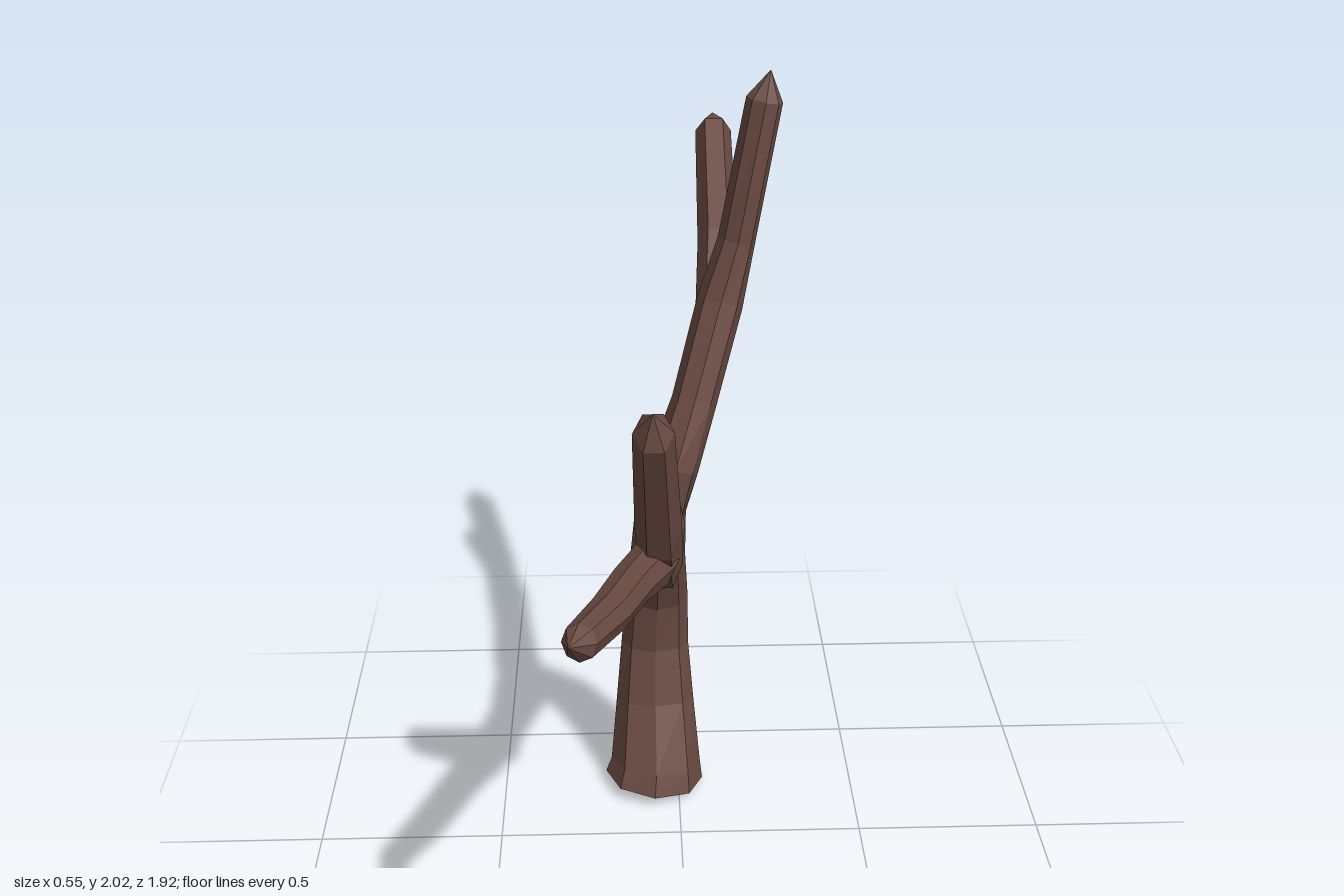
import * as THREE from 'three';

const bark = new THREE.MeshStandardMaterial({ color: 0x694a42, flatShading: true });
bark.name = 'brown bark';

// Faceted limb. Each ring is [x, y, z, half width across x, half depth], and it ends in a point at tip.
function limb(name, sides, rings, tip) {
  const centres = rings.map((r) => new THREE.Vector3(r[0], r[1], r[2]));
  const apex = new THREE.Vector3(...tip);
  const path = [...centres, apex];
  const loops = rings.map((r, i) => {
    // Mean direction of the neighbouring segments
    const dir = path[i + 1].clone().sub(path[i]).normalize();
    if (i > 0) dir.add(path[i].clone().sub(path[i - 1]).normalize()).normalize();
    const side = new THREE.Vector3(1, 0, 0).addScaledVector(dir, -dir.x).normalize();
    const up = dir.clone().cross(side);
    return Array.from({ length: sides }, (_, k) => {
      const a = (k / sides) * Math.PI * 2;
      return centres[i].clone()
        .addScaledVector(side, Math.cos(a) * r[3])
        .addScaledVector(up, Math.sin(a) * r[4]);
    });
  });

  const points = [];
  const last = loops.length - 1;
  for (let k = 0; k < sides; k++) {
    const n = (k + 1) % sides;
    points.push(centres[0], loops[0][n], loops[0][k]);
    for (let i = 0; i < last; i++) {
      const a = loops[i], b = loops[i + 1];
      points.push(a[k], a[n], b[n], a[k], b[n], b[k]);
    }
    points.push(loops[last][k], loops[last][n], apex);
  }
  const geometry = new THREE.BufferGeometry().setFromPoints(points);
  geometry.computeVertexNormals();
  const mesh = new THREE.Mesh(geometry, bark);
  mesh.name = name;
  return mesh;
}

export function createModel() {
  const tree = new THREE.Group();
  tree.name = 'bareTree';

  // Flared trunk bending back and on into the tall limb
  tree.add(limb('trunkAndTallLimb', 8, [
    [-0.07, 0, -0.257, 0.14, 0.145],
    [-0.065, 0.05, -0.262, 0.128, 0.125],
    [-0.065, 0.23, -0.315, 0.11, 0.088],
    [-0.064, 0.4, -0.34, 0.095, 0.066],
    [-0.058, 0.56, -0.333, 0.087, 0.073],
    [-0.055, 0.72, -0.277, 0.075, 0.088],
    [-0.048, 0.9, -0.195, 0.068, 0.107],
    [-0.012, 1.02, -0.215, 0.068, 0.13],
    [0.043, 1.17, -0.278, 0.06, 0.088],
    [0.115, 1.4, -0.4, 0.062, 0.083],
    [0.16, 1.56, -0.443, 0.05, 0.073],
    [0.228, 1.925, -0.463, 0.048, 0.052],
  ], [0.243, 2, -0.467]));

  // Twig leaving the tall limb to the back
  tree.add(limb('backTwig', 6, [
    [0.1, 1.36, -0.39, 0.05, 0.06],
    [0.118, 1.505, -0.59, 0.054, 0.07],
    [0.12, 1.725, -0.915, 0.05, 0.062],
  ], [0.12, 1.765, -0.96]));

  // Low limb reaching forward, carrying on as the long twig
  tree.add(limb('frontLimb', 8, [
    [-0.05, 0.82, -0.24, 0.06, 0.09],
    [-0.052, 0.9, -0.1, 0.066, 0.11],
    [-0.056, 0.928, 0.05, 0.06, 0.065],
    [-0.062, 0.985, 0.215, 0.06, 0.062],
    [-0.085, 1.025, 0.36, 0.06, 0.058],
    [-0.13, 1.055, 0.5, 0.055, 0.05],
    [-0.18, 1.095, 0.7, 0.05, 0.046],
    [-0.24, 1.145, 0.905, 0.04, 0.042],
  ], [-0.262, 1.165, 0.96]));

  // Twig rising from the low limb
  tree.add(limb('frontTwig', 6, [
    [-0.058, 0.96, 0.23, 0.055, 0.075],
    [-0.065, 1.12, 0.35, 0.056, 0.098],
    [-0.078, 1.447, 0.534, 0.047, 0.06],
  ], [-0.08, 1.51, 0.572]));

  return tree;
}
